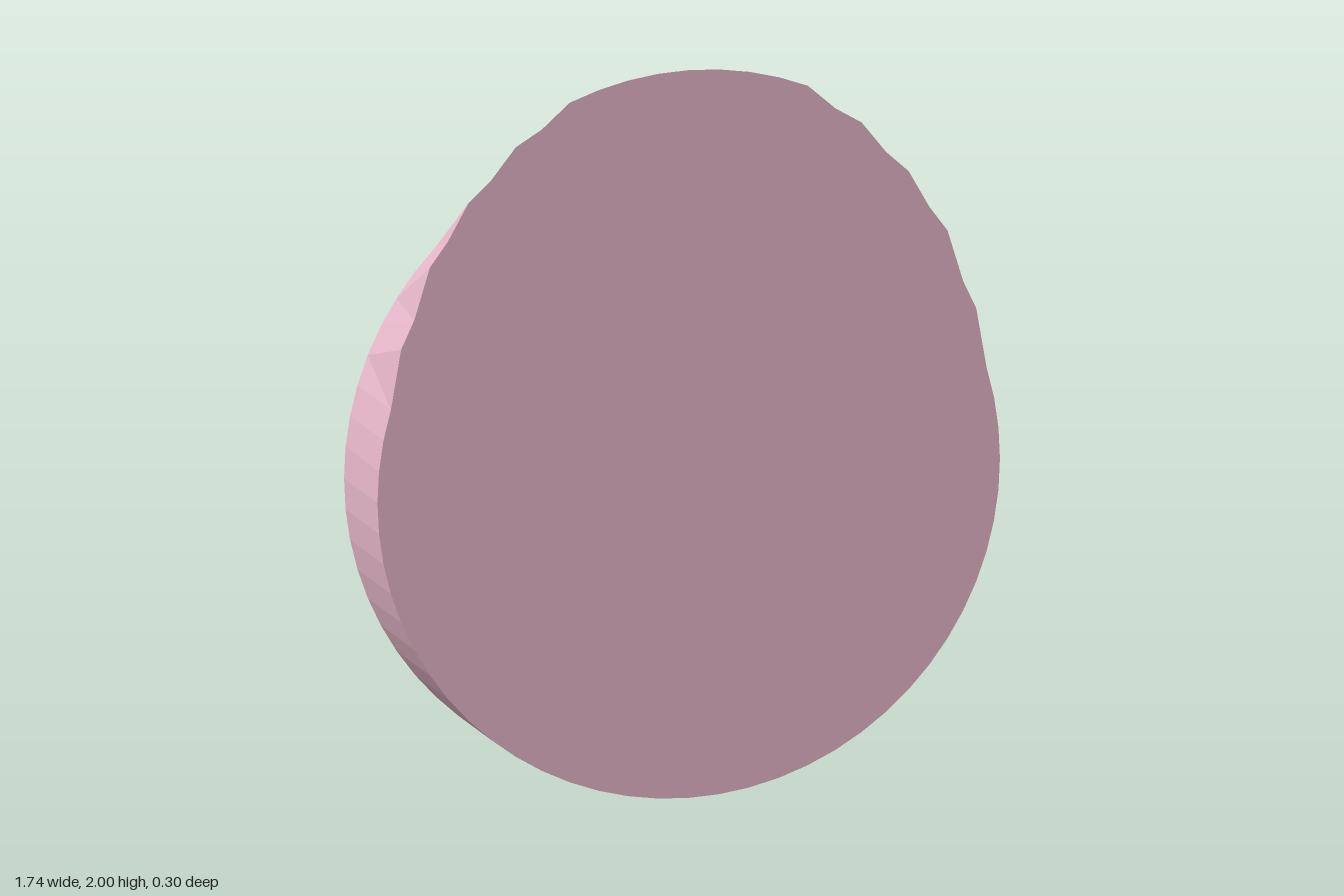
import * as THREE from 'three';

const RADIUS = 0.872;
const DEPTH = 0.3;
const SEGMENTS = 64;

// Upward stretch of the front rim, by steps away from the top
const LIFTS = [0.256, 0.256, 0.256, 0.256, 0.256, 0.225, 0.225, 0.19, 0.19, 0.152, 0.152, 0.083, 0.083];

export function createModel() {
  const group = new THREE.Group();
  group.name = 'slantedDisc';

  // Round disc lying along z, standing on the ground
  const geometry = new THREE.CylinderGeometry(RADIUS, RADIUS, DEPTH, SEGMENTS);
  geometry.rotateX(Math.PI / 2);

  // Pull the upper front rim upwards in steps
  const pos = geometry.attributes.position;
  for (let i = 0; i < pos.count; i++) {
    const x = pos.getX(i), y = pos.getY(i);
    const onRim = Math.hypot(x, y) > RADIUS / 2;
    if (!onRim || pos.getZ(i) < 0) continue;
    const step = Math.round((Math.abs(Math.atan2(x, y)) / (2 * Math.PI)) * SEGMENTS);
    pos.setY(i, y + (LIFTS[step] ?? 0));
  }
  geometry.translate(0, RADIUS, 0);
  geometry.computeVertexNormals();

  const material = new THREE.MeshStandardMaterial({ color: 0xe8b8cb, flatShading: true });
  const disc = new THREE.Mesh(geometry, material);
  disc.name = 'disc';
  group.add(disc);
  return group;
}
